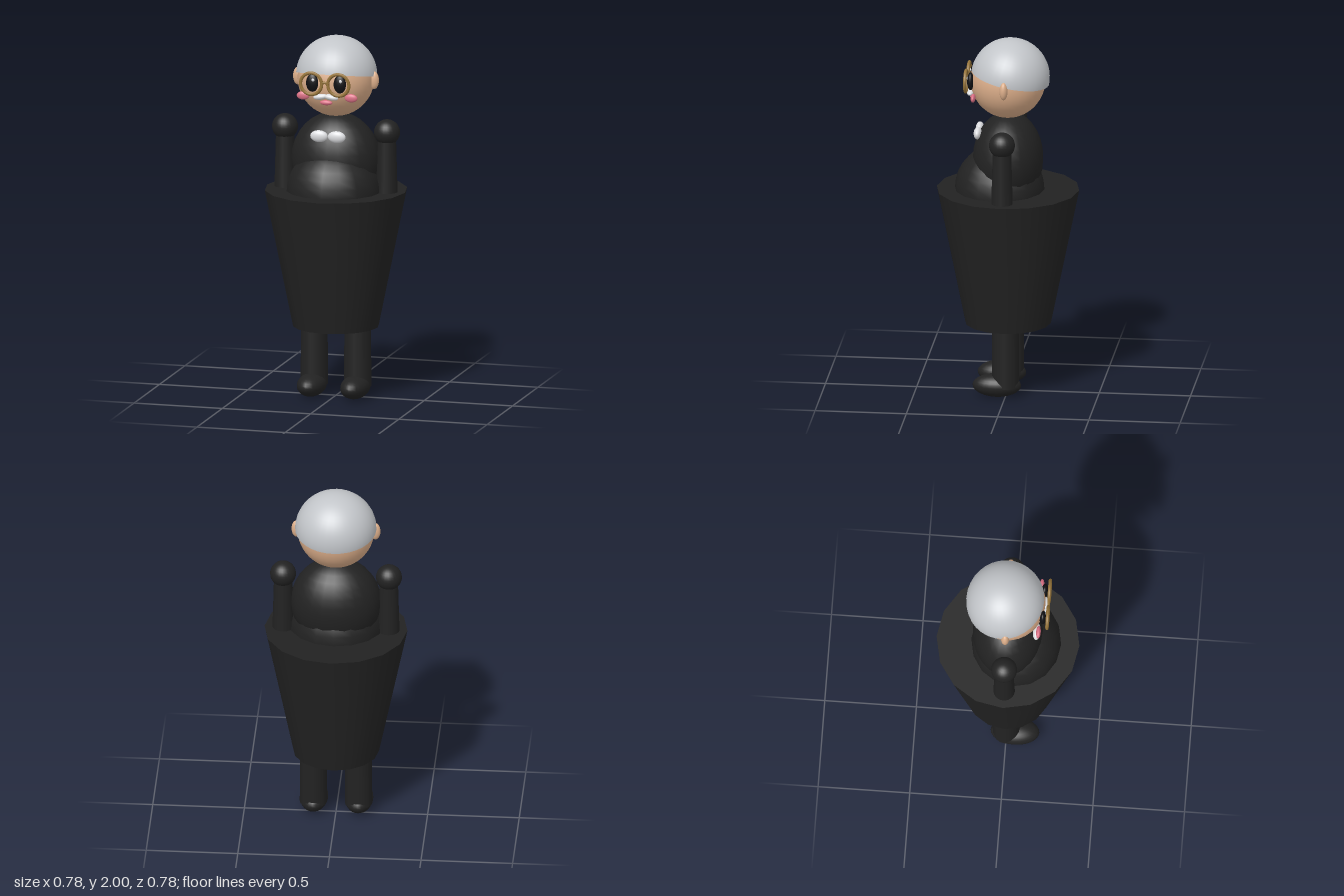
import * as THREE from 'three';

const mat = (name, color, side = THREE.FrontSide) => {
  const m = new THREE.MeshStandardMaterial({ color, side });
  m.name = name;
  return m;
};

export function createModel() {
  const root = new THREE.Group();
  root.name = 'figureInTub';
  const black = mat('black cloth', 0x222222);
  const eyeBlack = mat('eye black', 0x111114);
  const skin = mat('skin', 0xdcae8a);
  const grey = mat('grey hair', 0xc2c5c9, THREE.DoubleSide);
  const white = mat('white', 0xdcdde0);
  const pink = mat('pink', 0xdb7085);
  const gold = mat('brass', 0x96743a);

  const add = (name, geo, material, pos) => {
    const m = new THREE.Mesh(geo, material);
    m.name = name;
    m.position.set(...pos);
    root.add(m);
    return m;
  };
  const ball = (name, material, pos, radii, w = 24, h = 16) =>
    add(name, new THREE.SphereGeometry(1, w, h).scale(...radii), material, pos);
  const rod = (name, material, pos, top, bottom, height, sides = 16) =>
    add(name, new THREE.CylinderGeometry(top, bottom, height, sides), material, pos);

  // Tub and torso
  rod('tub', black, [0, 0.77, 0], 0.39, 0.235, 0.76);
  ball('torso', black, [0, 1.32, 0], [0.247, 0.26, 0.192]);
  ball('belly', black, [0, 1.15, 0.045], [0.26, 0.245, 0.245], 16, 16);

  // Head, with a tilted half-sphere of hair
  ball('head', skin, [0, 1.77, 0], [0.21, 0.21, 0.205], 32, 24);
  const cap = new THREE.SphereGeometry(1, 32, 16, 0, Math.PI * 2, 0, Math.PI / 2);
  const hair = add('hair', cap.scale(0.222, 0.215, 0.215), grey, [0, 1.785, -0.013]);
  hair.rotation.x = -0.19;

  // Mouth and spectacle bridge
  ball('mouth', pink, [0, 1.669, 0.193], [0.035, 0.014, 0.014]);
  const bridge = rod('spectacleBridge', gold, [0, 1.785, 0.222], 0.007, 0.007, 0.05, 8);
  bridge.rotation.z = Math.PI / 2;

  // Mirrored parts
  for (const s of [1, -1]) {
    const side = s > 0 ? 'left' : 'right';
    rod(side + 'Leg', black, [s * 0.123, 0.24, 0], 0.073, 0.075, 0.36);
    ball(side + 'Foot', black, [s * 0.123, 0.064, 0.047], [0.077, 0.064, 0.133]);
    rod(side + 'Arm', black, [s * 0.288, 1.27, 0], 0.05, 0.061, 0.4);
    ball(side + 'Hand', black, [s * 0.289, 1.482, 0], [0.071, 0.071, 0.071]);
    ball(side + 'Ear', skin, [s * 0.215, 1.767, 0], [0.028, 0.05, 0.022]);
    ball(side + 'Eye', eyeBlack, [s * 0.078, 1.776, 0.196], [0.035, 0.05, 0.019]);
    ball(side + 'EyeGlint', white, [s * 0.078 + 0.008, 1.795, 0.212], [0.009, 0.009, 0.005], 12, 8);
    add(side + 'SpectacleRim', new THREE.TorusGeometry(0.06, 0.009, 8, 32), gold, [s * 0.077, 1.776, 0.222]);
    ball(side + 'Cheek', pink, [s * 0.136, 1.698, 0.176], [0.036, 0.023, 0.013]);
    const whisker = ball(side + 'Moustache', white, [s * 0.03, 1.702, 0.202], [0.041, 0.016, 0.02]);
    whisker.rotation.z = -s * 0.15;
    ball(side + 'BowTieHalf', white, [s * 0.05, 1.473, 0.16], [0.05, 0.033, 0.022]);
  }
  return root;
}
